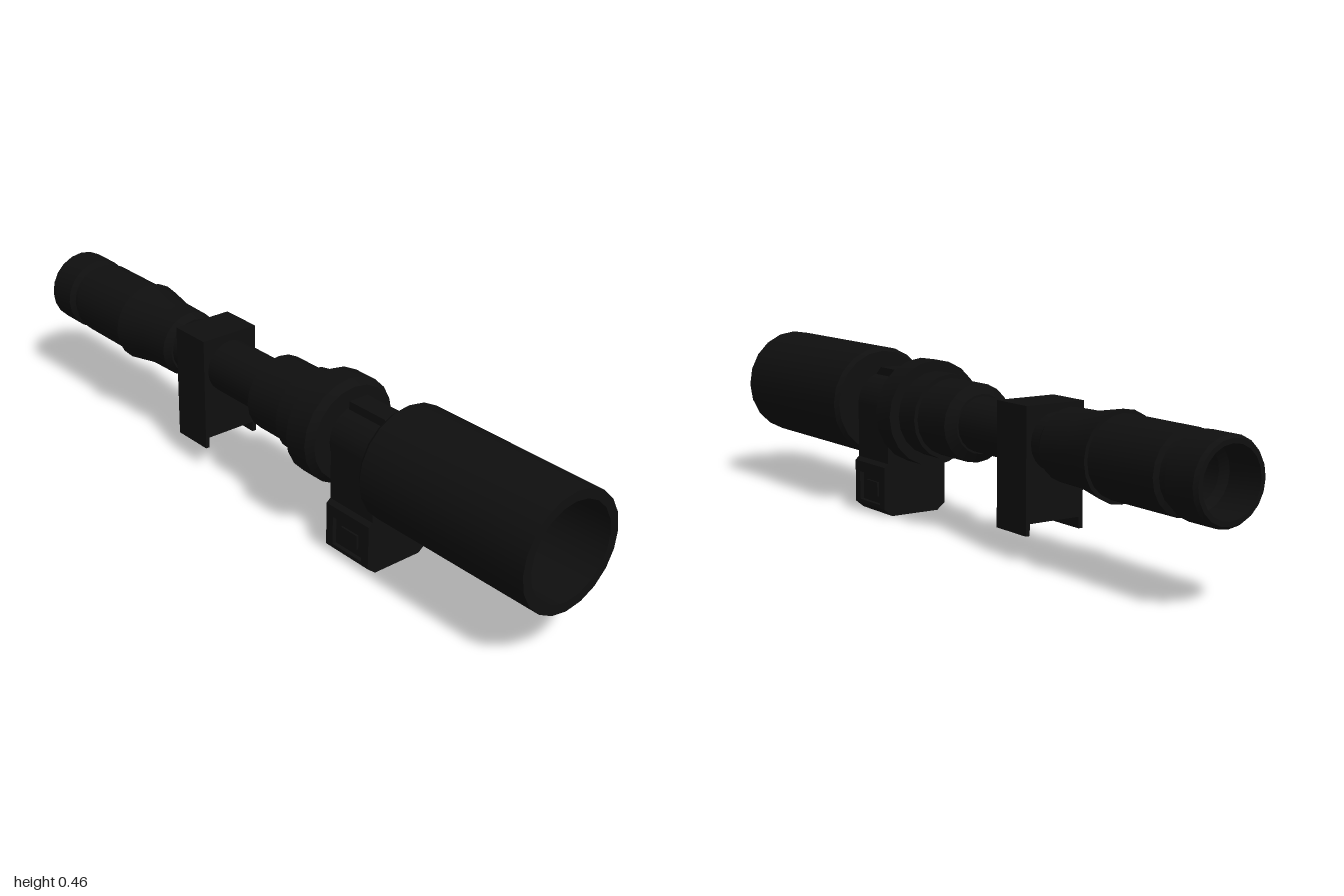
import * as THREE from 'three';
import { toCreasedNormals } from 'three/addons/utils/BufferGeometryUtils.js';

const AXIS = 0.3; // height of the optical axis
const BORE = 0.0725;

const black = new THREE.MeshStandardMaterial({ color: 0x0f0f0f });
black.name = 'matte black';

function part(name, geometry, parent) {
  const mesh = new THREE.Mesh(toCreasedNormals(geometry, 0.5), black);
  mesh.name = name;
  parent.add(mesh);
  return mesh;
}

// Turned part along z from a closed list of [z, radius]
function turned(name, profile, parent) {
  const pts = profile.map(([z, r]) => new THREE.Vector2(r, z));
  pts.push(pts[0].clone());
  const geo = new THREE.LatheGeometry(pts, 20);
  geo.rotateX(Math.PI / 2);
  geo.translate(0, AXIS, 0);
  return part(name, geo, parent);
}

// Front outline pushed along z from z0 to z1
function slab(shape, z0, z1) {
  const geo = new THREE.ExtrudeGeometry(shape, { depth: z1 - z0, bevelEnabled: false, curveSegments: 20 });
  geo.translate(0, 0, z0);
  return geo;
}

function boreHole() {
  const hole = new THREE.Path();
  hole.absarc(0, AXIS, BORE, 0, Math.PI * 2, true);
  return hole;
}

function box(name, x0, x1, y0, y1, z0, z1, parent) {
  const geo = new THREE.BoxGeometry(x1 - x0, y1 - y0, z1 - z0);
  geo.translate((x0 + x1) / 2, (y0 + y1) / 2, (z0 + z1) / 2);
  return part(name, geo, parent);
}

export function createModel() {
  const model = new THREE.Group();
  model.name = 'scope';

  // Eyepiece with grooved end ring, flared collar and recessed opening
  turned('eyepiece', [
    [-1, 0.098], [-0.99, 0.105], [-0.9, 0.105], [-0.89, 0.09], [-0.865, 0.09], [-0.86, 0.104],
    [-0.63, 0.104], [-0.63, 0.114], [-0.53, 0.096], [-0.43, 0.094], [-0.41, 0.08], [-0.41, BORE],
    [-0.88, BORE], [-0.9, 0.086], [-1, 0.086],
  ], model);

  // Main tube
  turned('mainTube', [[-0.42, 0.0745], [0, 0.0745], [0, BORE], [-0.42, BORE]], model);

  // Stepped adjustment collar
  turned('adjustmentCollar', [
    [-0.05, 0.08], [-0.03, 0.106], [0.1, 0.106], [0.1, 0.117], [0.178, 0.117], [0.178, 0.146],
    [0.25, 0.146], [0.27, 0.13], [0.27, 0.08], [0.47, 0.08], [0.47, BORE], [-0.05, BORE],
  ], model);

  // Front hood with hollow mouth
  turned('hood', [
    [0.455, 0.08], [0.455, 0.146], [0.468, 0.156], [1, 0.156], [1, 0.13], [0.58, 0.13],
    [0.56, BORE], [0.455, BORE],
  ], model);

  // Front mount: saddle ring running down into a wide foot
  const frontMount = new THREE.Group();
  frontMount.name = 'frontMount';
  model.add(frontMount);
  const [mz0, mz1] = [0.285, 0.445];
  const saddle = new THREE.Shape();
  saddle.moveTo(-0.075, 0);
  saddle.lineTo(0.075, 0);
  saddle.lineTo(0.088, 0.0104);
  saddle.lineTo(0.088, AXIS);
  saddle.absarc(0, AXIS, 0.088, 0, Math.PI, false);
  saddle.lineTo(-0.088, 0.0104);
  saddle.holes.push(boreHole());
  part('saddle', slab(saddle, mz0, mz1), frontMount);

  // Chamfered cheek plates with a square recess
  for (const side of [1, -1]) {
    const cheek = new THREE.Shape();
    cheek.moveTo(mz0, 0.0104);
    cheek.lineTo(mz1, 0.0104);
    cheek.lineTo(mz1, 0.15);
    cheek.lineTo(mz0, 0.15);
    const recess = new THREE.Path();
    recess.moveTo(0.31, 0.03);
    recess.lineTo(0.31, 0.11);
    recess.lineTo(0.42, 0.11);
    recess.lineTo(0.42, 0.03);
    cheek.holes.push(recess);
    const geo = new THREE.ExtrudeGeometry(cheek, { depth: 0.012, bevelEnabled: false });
    // Draw in the top and bottom of the outer face
    const p = geo.attributes.position;
    for (let i = 0; i < p.count; i++) {
      const outer = side > 0 ? p.getZ(i) > 0.006 : p.getZ(i) < 0.006;
      if (outer && p.getY(i) < 0.02) p.setY(i, 0.02);
      if (outer && p.getY(i) > 0.14) p.setY(i, 0.14);
    }
    geo.rotateY(Math.PI / 2);
    geo.scale(1, 1, 1);
    // The turn maps shape x to -z, so shift back by the mount's own span
    geo.translate(side > 0 ? 0.088 : -0.1, 0, mz0 + mz1);
    part(side > 0 ? 'leftCheek' : 'rightCheek', geo, frontMount);
    box('clampBolt', side > 0 ? 0.086 : -0.094, side > 0 ? 0.094 : -0.086, 0.05, 0.09, 0.335, 0.395, frontMount);
  }

  // Sloped tab on top of the saddle
  const tab = new THREE.Shape();
  tab.moveTo(-0.445, 0.375);
  tab.lineTo(-0.285, 0.375);
  tab.lineTo(-0.285, 0.405);
  tab.lineTo(-0.415, 0.405);
  tab.lineTo(-0.445, 0.38);
  const tabGeo = new THREE.ExtrudeGeometry(tab, { depth: 0.06, bevelEnabled: false });
  tabGeo.translate(0, 0, -0.03);
  tabGeo.rotateY(Math.PI / 2);
  part('topTab', tabGeo, frontMount);

  // Rear mount: block around the tube with thin side plates reaching lower
  const rearMount = new THREE.Group();
  rearMount.name = 'rearMount';
  model.add(rearMount);
  const block = new THREE.Shape();
  block.moveTo(-0.076, 0.1);
  block.lineTo(0.076, 0.1);
  block.lineTo(0.076, 0.395);
  block.lineTo(-0.076, 0.395);
  block.holes.push(boreHole());
  part('block', slab(block, -0.37, -0.245), rearMount);
  box('leftPlate', 0.076, 0.088, 0.07, 0.395, -0.37, -0.245, rearMount);
  box('rightPlate', -0.088, -0.076, 0.07, 0.395, -0.37, -0.245, rearMount);

  return model;
}
